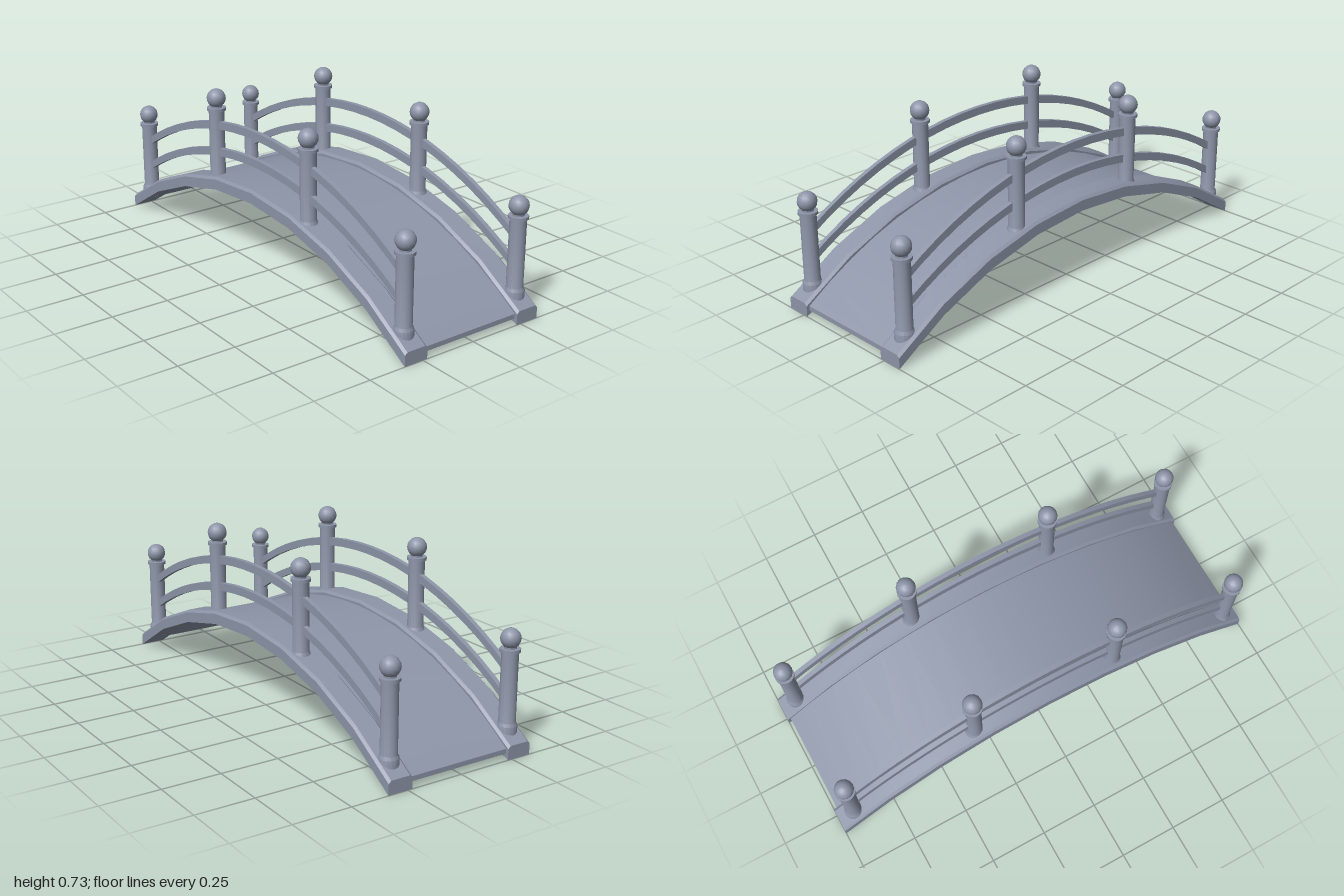
import * as THREE from 'three';
import { toCreasedNormals } from 'three/addons/utils/BufferGeometryUtils.js';

const R = 1.70, RISE = 0.325;
const arcY = x => RISE - R + Math.sqrt(R * R - x * x);

// Extrude a (z, y) cross-section along x in equal angles, then lift it onto the arc
function archGeometry(section, halfLength, segments) {
  const shape = new THREE.Shape(section.map(p => new THREE.Vector2(...p)));
  const geo = new THREE.ExtrudeGeometry(shape, { depth: 2, steps: segments, bevelEnabled: false });
  geo.translate(0, 0, -1).rotateY(Math.PI / 2);
  const pos = geo.attributes.position;
  const halfAngle = Math.asin(halfLength / R);
  for (let i = 0; i < pos.count; i++) {
    const x = R * Math.sin(pos.getX(i) * halfAngle);
    pos.setXY(i, x, pos.getY(i) + arcY(x));
  }
  return toCreasedNormals(geo, 0.5);
}

const box = (halfWidth, bottom, top) =>
  [[-halfWidth, bottom], [halfWidth, bottom], [halfWidth, top], [-halfWidth, top]];

export function createModel() {
  const stone = new THREE.MeshStandardMaterial({ color: 0x8d95a8 });
  stone.name = 'blue grey';
  const model = new THREE.Group();
  model.name = 'archedBridge';

  const add = (name, geo, x = 0, y = 0, z = 0, parent = model) => {
    const mesh = new THREE.Mesh(geo, stone);
    mesh.name = name;
    mesh.position.set(x, y, z);
    parent.add(mesh);
  };

  // Walking surface
  add('deck', archGeometry(box(0.232, 0.013, 0.033), 0.986, 16));

  // Side beam with chamfered top edges
  const w = 0.054, c = 0.011, h = 0.057;
  const beam = archGeometry(
    [[-w, 0], [w, 0], [w, h - c], [w - c, h], [c - w, h], [-w, h - c]], 1, 8);

  // Curved handrails
  const upperRail = archGeometry(box(0.01, 0.26, 0.295), 0.92, 20);
  const lowerRail = archGeometry(box(0.01, 0.14, 0.175), 0.92, 20);

  // Turned post: base ring, shaft, collar and neck; height is measured at the outer posts
  const profile = [
    [0, 0.07], [0.041, 0.07], [0.041, 0.112], [0.034, 0.125], [0.034, 0.412],
    [0.041, 0.412], [0.041, 0.425], [0.024, 0.425], [0.024, 0.44], [0, 0.44]
  ].map(p => new THREE.Vector2(...p));
  const post = toCreasedNormals(new THREE.LatheGeometry(profile, 16), 0.6);
  const ball = new THREE.SphereGeometry(0.041, 14, 10);

  for (const side of [1, -1]) {
    const railing = new THREE.Group();
    railing.name = side > 0 ? 'frontRailing' : 'backRailing';
    railing.position.z = side * 0.284;
    model.add(railing);
    add('sideBeam', beam, 0, 0, 0, railing);
    add('upperRail', upperRail, 0, 0, 0, railing);
    add('lowerRail', lowerRail, 0, 0, 0, railing);
    for (const [x, lift] of [[-0.924, 0], [-0.331, 0.225], [0.331, 0.225], [0.924, 0]]) {
      add('post', post, x, lift, 0, railing);
      add('postBall', ball, x, lift + 0.465, 0, railing);
    }
  }
  return model;
}
